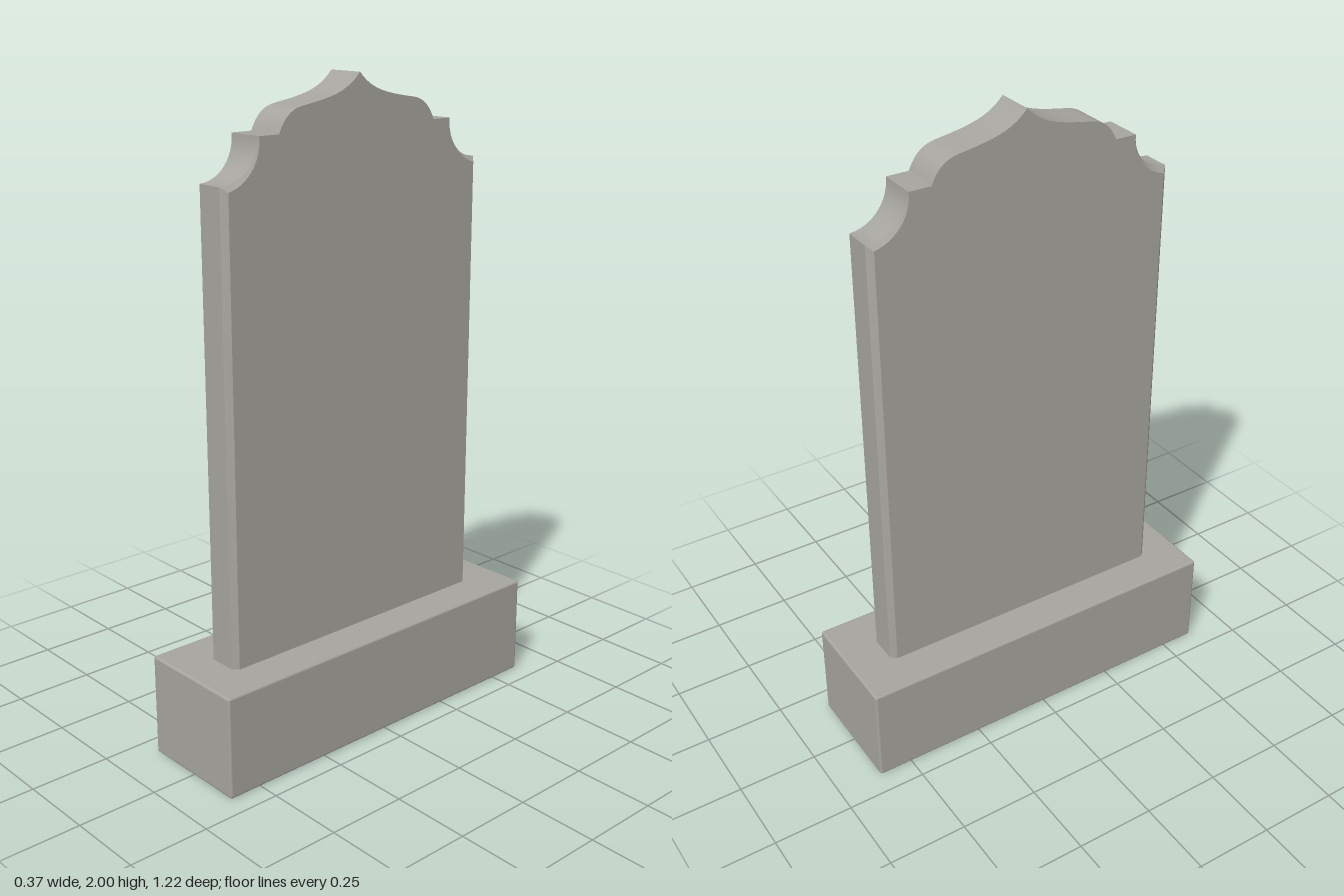
import * as THREE from 'three';
import { toCreasedNormals } from 'three/addons/utils/BufferGeometryUtils.js';
import { RoundedBoxGeometry } from 'three/addons/geometries/RoundedBoxGeometry.js';

const HALF_THICK = 0.06, CHAMFER = 0.017;

// Half outline of the slab, bottom to peak: outer point, inset point, chamfer size
function halfOutline() {
  const pts = [];
  const add = (u, y, iu = u, iy = y, c = 0) => pts.push({ u, y, iu, iy, c });
  add(0.488, 0.3, 0.488 - CHAMFER, 0.3, CHAMFER);
  // concave shoulder, its chamfer fading out towards the top
  const r = 0.125, n = 12;
  for (let i = 0; i <= n; i++) {
    const a = -Math.PI / 2 * (1 + i / n), c = CHAMFER * (1 - i / n);
    const cos = Math.cos(a), sin = Math.sin(a);
    add(0.488 + r * cos, 1.85 + r * sin, 0.488 + (r + c) * cos - (i === 0 ? c : 0), 1.85 + (r + c) * sin, c);
  }
  // ledge, rounded lobe and ogee up to the peak
  const crown = new THREE.CurvePath();
  const v = (x, y) => new THREE.Vector2(x, y);
  crown.add(new THREE.CubicBezierCurve(v(0.295, 1.85), v(0.275, 1.895), v(0.25, 1.915), v(0.205, 1.921)));
  crown.add(new THREE.CubicBezierCurve(v(0.205, 1.921), v(0.1, 1.937), v(0.045, 1.95), v(0, 2)));
  crown.curves.forEach((curve, k) =>
    curve.getPoints(12).slice(k).forEach(p => add(p.x, p.y)));
  return pts;
}

function slabGeometry() {
  const half = halfOutline();
  const mirrored = half.slice(0, -1).reverse().map(p => ({ ...p, u: -p.u, iu: -p.iu }));
  const outline = [...half, ...mirrored], n = outline.length;
  // four loops through the thickness
  const face = s => outline.map(p => [s * HALF_THICK, p.iy, -p.iu]);
  const rim = s => outline.map(p => [s * (HALF_THICK - p.c), p.y, -p.u]);
  const loops = [face(1), rim(1), rim(-1), face(-1)];
  const index = [];
  for (let k = 0; k < 3; k++) {
    for (let i = 0; i < n; i++) {
      const j = (i + 1) % n, a = k * n, b = a + n;
      index.push(a + i, b + i, b + j, a + i, b + j, a + j);
    }
  }
  // broad faces
  const flat = outline.map(p => new THREE.Vector2(p.iu, p.iy));
  for (const [a, b, c] of THREE.ShapeUtils.triangulateShape(flat, [])) {
    const A = flat[a], B = flat[b], C = flat[c];
    const ccw = (B.x - A.x) * (C.y - A.y) - (B.y - A.y) * (C.x - A.x) > 0;
    const [p, q] = ccw ? [b, c] : [c, b];
    index.push(a, p, q, 3 * n + a, 3 * n + q, 3 * n + p);
  }
  const geometry = new THREE.BufferGeometry();
  geometry.setAttribute('position', new THREE.Float32BufferAttribute(loops.flat(2), 3));
  geometry.setIndex(index);
  return toCreasedNormals(geometry, 0.6);
}

export function createModel() {
  const group = new THREE.Group();
  group.name = 'headstone';
  const stone = new THREE.MeshStandardMaterial({ color: 0xa6a49e });
  stone.name = 'grey stone';

  const base = new THREE.Mesh(new RoundedBoxGeometry(0.365, 0.32, 1.22, 2, 0.008), stone);
  base.name = 'base';
  base.position.y = 0.16;

  const slab = new THREE.Mesh(slabGeometry(), stone);
  slab.name = 'slab';
  slab.position.z = 0.003;

  group.add(base, slab);
  return group;
}
